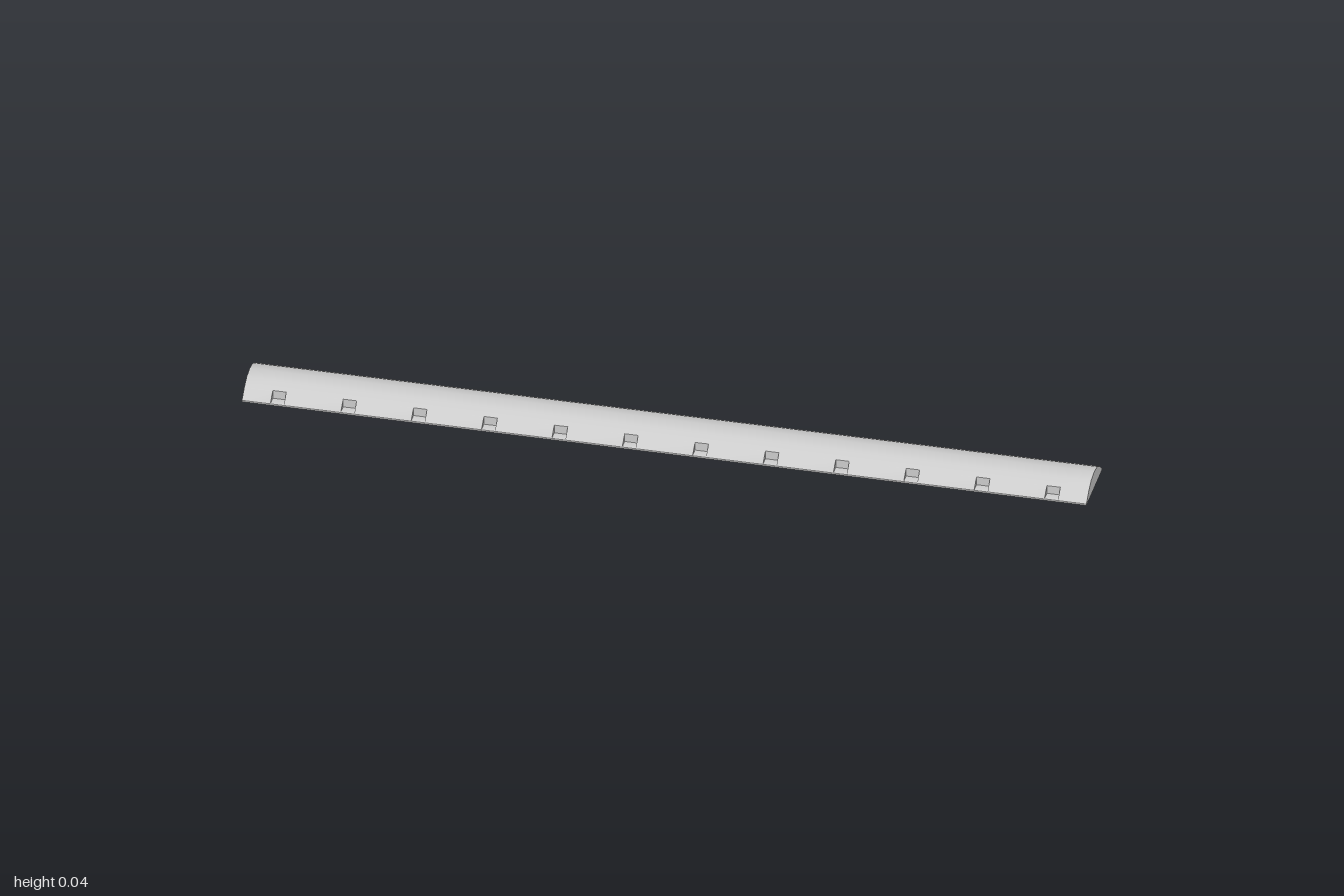
import * as THREE from 'three';
import { toCreasedNormals } from 'three/addons/utils/BufferGeometryUtils.js';

const FLOOR = 0.004, WALL_Z = 0.055, NOTCH_W = 0.032, NOTCHES = 12;

// Half cross-sections as [z, y], from the bottom edge up to the ridge
const crown = [[WALL_Z, 0.025], [0.031, 0.0385], [0, 0.043]];
const plainHalf = [[0.08, 0], [0.08, FLOOR], ...crown];
const notchedHalf = [[0.08, 0], [0.08, FLOOR], [WALL_Z, FLOOR], ...crown];

const mirrored = (half) => [...half, ...half.slice(0, -1).reverse().map(([z, y]) => [-z, y])];

// Adds one straight length of the shell between x0 and x1
function addLength(out, profile, x0, x1) {
  for (let i = 0; i < profile.length - 1; i++) {
    const [z0, y0] = profile[i], [z1, y1] = profile[i + 1];
    out.push(x0, y0, z0, x1, y0, z0, x1, y1, z1);
    out.push(x0, y0, z0, x1, y1, z1, x0, y1, z1);
  }
}

// Adds the triangular cheeks at one side of a pair of notches
function addCheeks(out, x, facing) {
  for (const s of [1, -1]) {
    const outer = [x, FLOOR, s * 0.08], inner = [x, FLOOR, s * WALL_Z], top = [x, 0.025, s * WALL_Z];
    out.push(...(s * facing > 0 ? [...outer, ...inner, ...top] : [...outer, ...top, ...inner]));
  }
}

export function createModel() {
  const group = new THREE.Group();
  group.name = 'cableCover';
  const material = new THREE.MeshStandardMaterial({ color: 0xcccccc, side: THREE.DoubleSide });
  const plain = mirrored(plainHalf), notched = mirrored(notchedHalf);

  // Open-bottomed arched shell, with notches along both long edges
  const points = [];
  let x = -1;
  for (let i = 0; i < NOTCHES; i++) {
    const centre = -1 + (2 * i + 1) / NOTCHES;
    const x0 = centre - NOTCH_W / 2, x1 = centre + NOTCH_W / 2;
    addLength(points, plain, x, x0);
    addLength(points, notched, x0, x1);
    addCheeks(points, x0, 1);
    addCheeks(points, x1, -1);
    x = x1;
  }
  addLength(points, plain, x, 1);
  const shellGeometry = new THREE.BufferGeometry();
  shellGeometry.setAttribute('position', new THREE.Float32BufferAttribute(points, 3));
  const shell = new THREE.Mesh(toCreasedNormals(shellGeometry, 0.7), material);
  shell.name = 'archedShell';
  group.add(shell);

  // Thin flat end walls
  const outline = new THREE.Shape(plain.map(([z, y]) => new THREE.Vector2(z, y)));
  for (const s of [1, -1]) {
    const cap = new THREE.Mesh(new THREE.ShapeGeometry(outline), material);
    cap.name = s > 0 ? 'leftEndWall' : 'rightEndWall';
    cap.rotation.y = s * Math.PI / 2;
    cap.position.x = s;
    group.add(cap);
  }
  return group;
}
